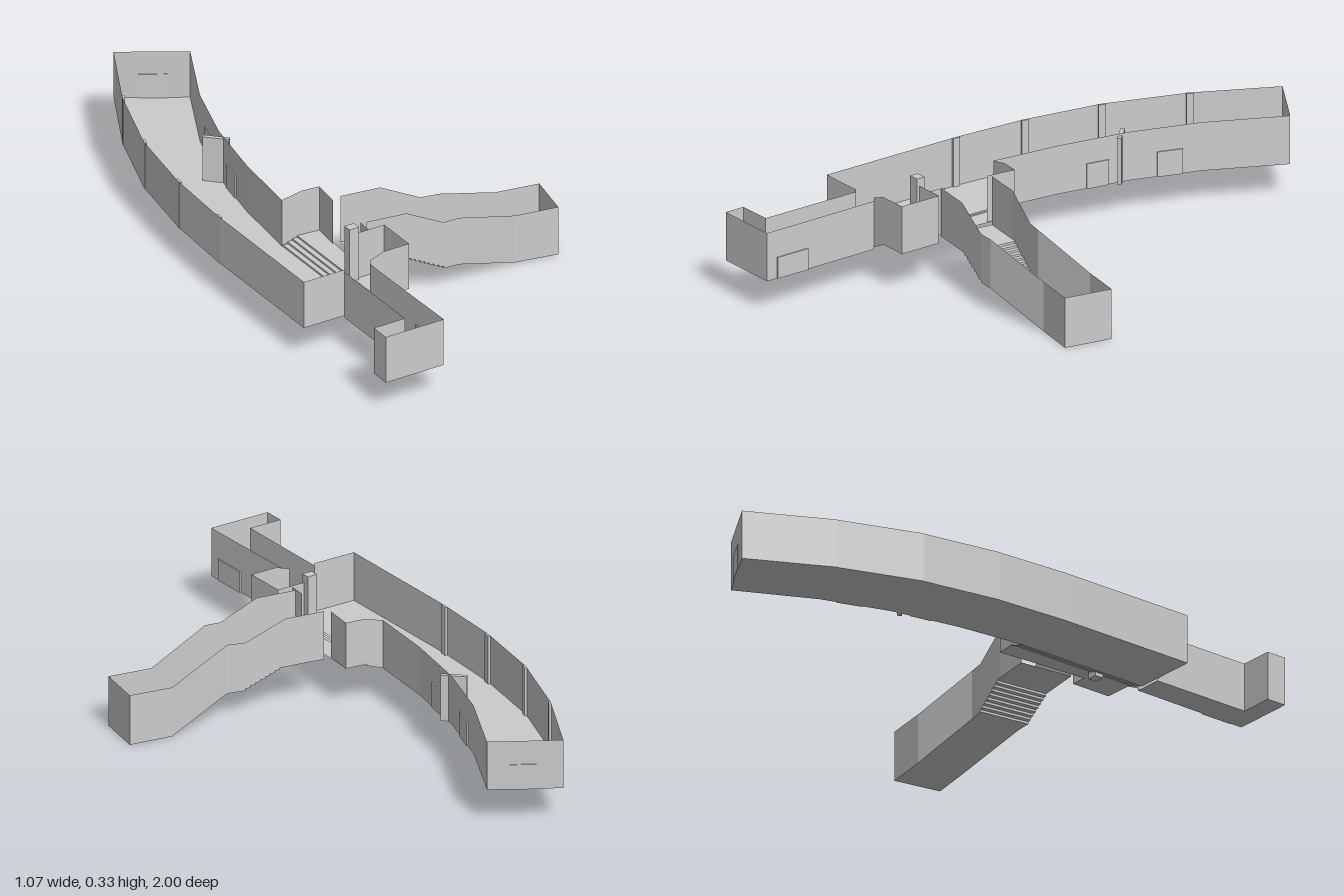
import * as THREE from 'three';

const material = new THREE.MeshStandardMaterial({ color: 0xcccccc, flatShading: true, side: THREE.DoubleSide });

// Mesh from a list of quads, each with four [x, y, z] corners
function quadMesh(name, quads) {
  const pos = [];
  for (const [a, b, c, d] of quads) pos.push(...a, ...b, ...c, ...a, ...c, ...d);
  const geo = new THREE.BufferGeometry();
  geo.setAttribute('position', new THREE.Float32BufferAttribute(pos, 3));
  geo.computeVertexNormals();
  const mesh = new THREE.Mesh(geo, material);
  mesh.name = name;
  return mesh;
}

// Thin wall along [x, z, bottom, top] points
function wall(name, pts) {
  const quads = [];
  for (let i = 0; i + 1 < pts.length; i++) {
    const [ax, az, a0, a1] = pts[i], [bx, bz, b0, b1] = pts[i + 1];
    quads.push([[ax, a0, az], [bx, b0, bz], [bx, b1, bz], [ax, a1, az]]);
  }
  return quadMesh(name, quads);
}

// Floor ribbon through stations [x1, z1, x2, z2, floor, top]
function floor(name, st) {
  const quads = [];
  for (let i = 0; i + 1 < st.length; i++) {
    const a = st[i], b = st[i + 1];
    quads.push([[a[0], a[4], a[1]], [b[0], b[4], b[1]], [b[2], b[4], b[3]], [a[2], a[4], a[3]]]);
  }
  return quadMesh(name, quads);
}

const sideA = (st) => st.map((s) => [s[0], s[1], s[4], s[5]]);
const sideB = (st) => st.map((s) => [s[2], s[3], s[4], s[5]]);
const across = (s) => [[s[0], s[1], s[4], s[5]], [s[2], s[3], s[4], s[5]]];

// Upright box standing on y0, its long side running from (x1, z1) to (x2, z2)
function panel(name, x1, z1, x2, z2, y0, y1, t) {
  const mesh = new THREE.Mesh(new THREE.BoxGeometry(Math.hypot(x2 - x1, z2 - z1), y1 - y0, t), material);
  mesh.position.set((x1 + x2) / 2, (y0 + y1) / 2, (z1 + z2) / 2);
  mesh.rotation.y = -Math.atan2(z2 - z1, x2 - x1);
  mesh.name = name;
  return mesh;
}

export function createModel() {
  const g = new THREE.Group();
  g.name = 'corridors';

  // Long curved corridor, open at the top
  const F = 0.115, T = 0.28;
  const main = [
    [-0.245, -1, -0.04, -0.875, F, T], [-0.38, -0.735, -0.165, -0.62, F, T],
    [-0.475, -0.46, -0.24, -0.39, F, T], [-0.52, -0.19, -0.285, -0.15, F, T],
    [-0.535, 0.07, -0.31, 0.09, F, T], [-0.535, 0.575, -0.31, 0.575, F, T],
  ];
  g.add(
    floor('mainFloor', main),
    wall('mainOuterWall', sideA(main)),
    wall('mainInnerWall', sideB(main).slice(0, 5)),
    wall('mainEndWall', across(main[0])),
    wall('roomFrontWall', [[-0.535, 0.575, F, T], [-0.385, 0.575, F, T]]),
  );

  // Ribs at the bends of the outer wall
  for (let i = 1; i < 5; i++) {
    const [x, z] = main[i], [px, pz] = main[i - 1];
    const l = Math.hypot(x - px, z - pz), dx = (x - px) / l, dz = (z - pz) / l;
    g.add(panel('wallRib', x + 0.004 - dx * 0.012, z - dz * 0.012, x + 0.004 + dx * 0.012, z + dz * 0.012, F, T, 0.008));
  }

  // Low steps up to the side room, and its raised floor
  const R = 0.14, steps = [], n = 4;
  for (let i = 0; i < n; i++) {
    const y0 = F + (R - F) * i / n, y1 = F + (R - F) * (i + 1) / n, x = -0.31 + 0.0175 * i;
    steps.push([x, 0.095, x, 0.575, y0], [x, 0.095, x, 0.575, y1], [x + 0.0175, 0.097, x + 0.0175, 0.575, y1]);
  }
  const stepWall = [[-0.29, 0.575, F, 0.285], [-0.24, 0.575, R, 0.302], [-0.145, 0.575, R, 0.302],
    [-0.145, 0.43, R, 0.302], [-0.25, 0.43, R, 0.302]];
  g.add(
    floor('roomSteps', steps),
    floor('roomFloor', [[-0.24, 0.098, -0.24, 0.43, R], [-0.18, 0.105, -0.2, 0.43, R]]),
    floor('alcoveFloor', [[-0.24, 0.43, -0.24, 0.575, R], [-0.145, 0.43, -0.145, 0.575, R]]),
    wall('alcoveWall', stepWall),
    wall('roomBackWall', [[-0.31, 0.09, F, T], [-0.24, 0.098, R, 0.297], [-0.18, 0.105, R, 0.297], [-0.192, 0.205, R, 0.297]]),
    wall('roomSideWall', [[-0.195, 0.37, R, 0.297], [-0.2, 0.43, R, 0.297]]),
    panel('pillar', -0.28, 0.425, -0.245, 0.425, F, 0.328, 0.03),
  );

  // Descending side passage: level, stairs, landing, ramp, level
  const passage = [[-0.165, 0.205, -0.185, 0.39, R, 0.305], [-0.03, 0.225, -0.05, 0.41, R, 0.305]];
  const count = 8;
  for (let i = 1; i <= count; i++) {
    const k = i / count, x = -0.03 + 0.13 * k, z = 0.225 + 0.03 * k;
    const xb = -0.05 + 0.125 * k, zb = 0.41 + 0.02 * k, top = 0.305 - 0.06 * k;
    passage.push([x, z, xb, zb, R - 0.06 * (i - 1) / count, top], [x, z, xb, zb, R - 0.06 * k, top]);
  }
  passage.push([0.16, 0.27, 0.13, 0.435, 0.08, 0.247], [0.39, 0.24, 0.36, 0.4, 0.002, 0.17],
    [0.535, 0.265, 0.505, 0.425, 0, 0.17]);
  g.add(
    floor('passageFloor', passage),
    wall('passageBackWall', sideA(passage)),
    wall('passageFrontWall', sideB(passage)),
    wall('passageEndWall', across(passage[passage.length - 1])),
  );

  // Narrow front corridor with a bend at its end
  const f = 0.108, t = 0.272;
  const outline = [[-0.385, 0.575], [-0.385, 0.93], [-0.5, 0.93], [-0.5, 1], [-0.285, 1], [-0.29, 0.575]];
  g.add(
    wall('frontCorridorWall', outline.map(([x, z]) => [x, z, f, t])),
    floor('frontCorridorFloor', [[-0.385, 0.575, -0.29, 0.575, f], [-0.385, 0.93, -0.287, 0.93, f]]),
    floor('frontBendFloor', [[-0.5, 0.93, -0.5, 1, f], [-0.285, 0.93, -0.285, 1, f]]),
  );

  // Doors set in the walls, and one tall door standing ajar
  g.add(
    panel('door', -0.211, -0.48, -0.184, -0.56, F, 0.2, 0.008),
    panel('door', -0.253, -0.32, -0.267, -0.245, F, 0.2, 0.008),
    panel('door', -0.18, -0.96, -0.1, -0.912, F, 0.2, 0.006),
    panel('door', -0.286, 0.84, -0.286, 0.96, f, 0.18, 0.008),
    panel('openDoor', -0.29, -0.405, -0.23, -0.345, F, 0.272, 0.014),
  );
  return g;
}
